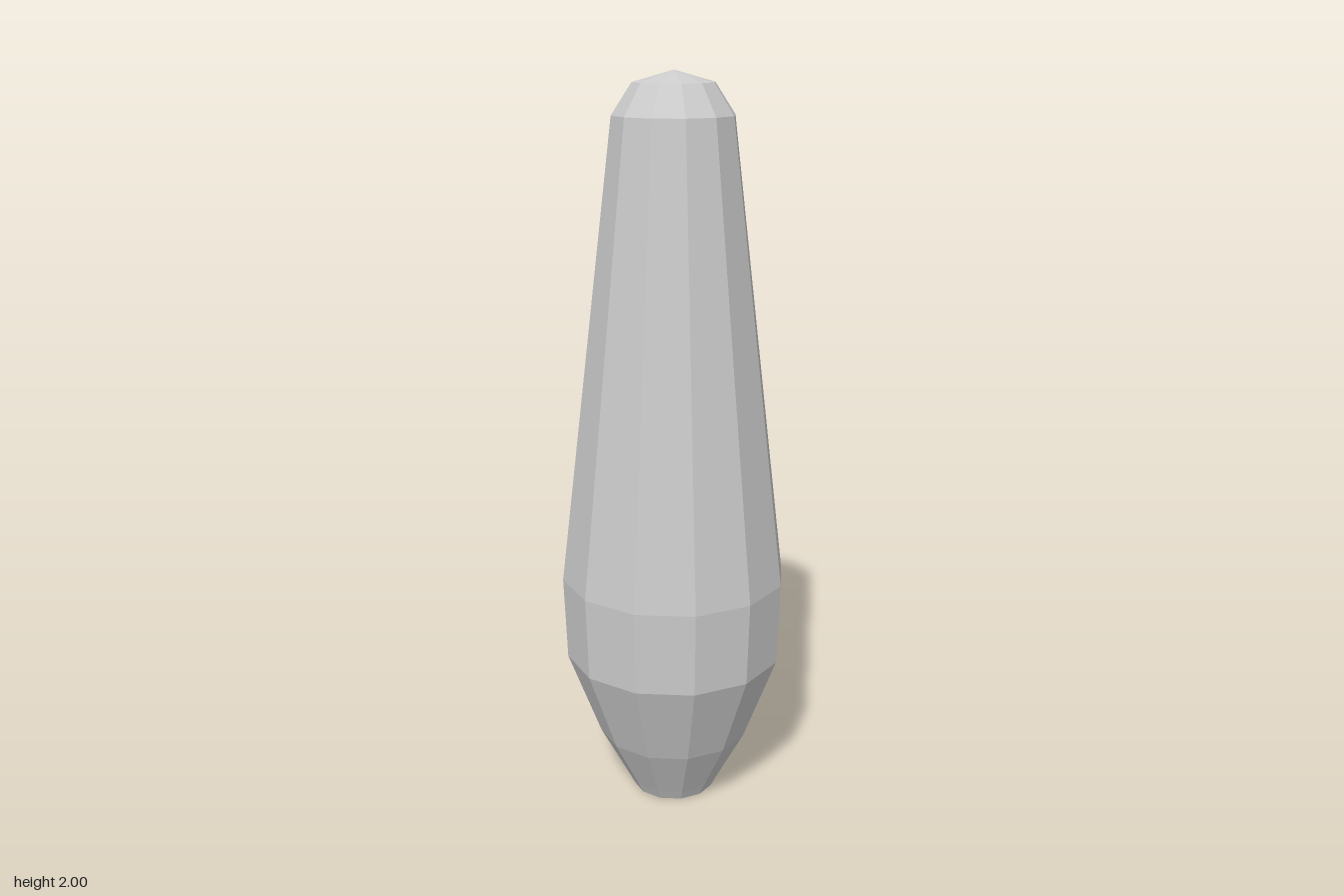
import * as THREE from 'three';

const SIDES = 12;

export function createModel() {
  const model = new THREE.Group();
  model.name = 'taperedClub';

  // Radius and height from the flat foot up to the shallow cone on top
  const profile = [
    [0, 0], [0.115, 0], [0.13, 0.03], [0.21, 0.18], [0.3, 0.42],
    [0.309, 0.65], [0.16, 1.89], [0.107, 1.97], [0, 2],
  ].map(([r, y]) => new THREE.Vector2(r, y));

  // Faceted body of revolution
  const body = new THREE.Mesh(
    new THREE.LatheGeometry(profile, SIDES),
    new THREE.MeshStandardMaterial({ color: 0xcccccc, flatShading: true })
  );
  body.name = 'body';
  model.add(body);

  return model;
}
